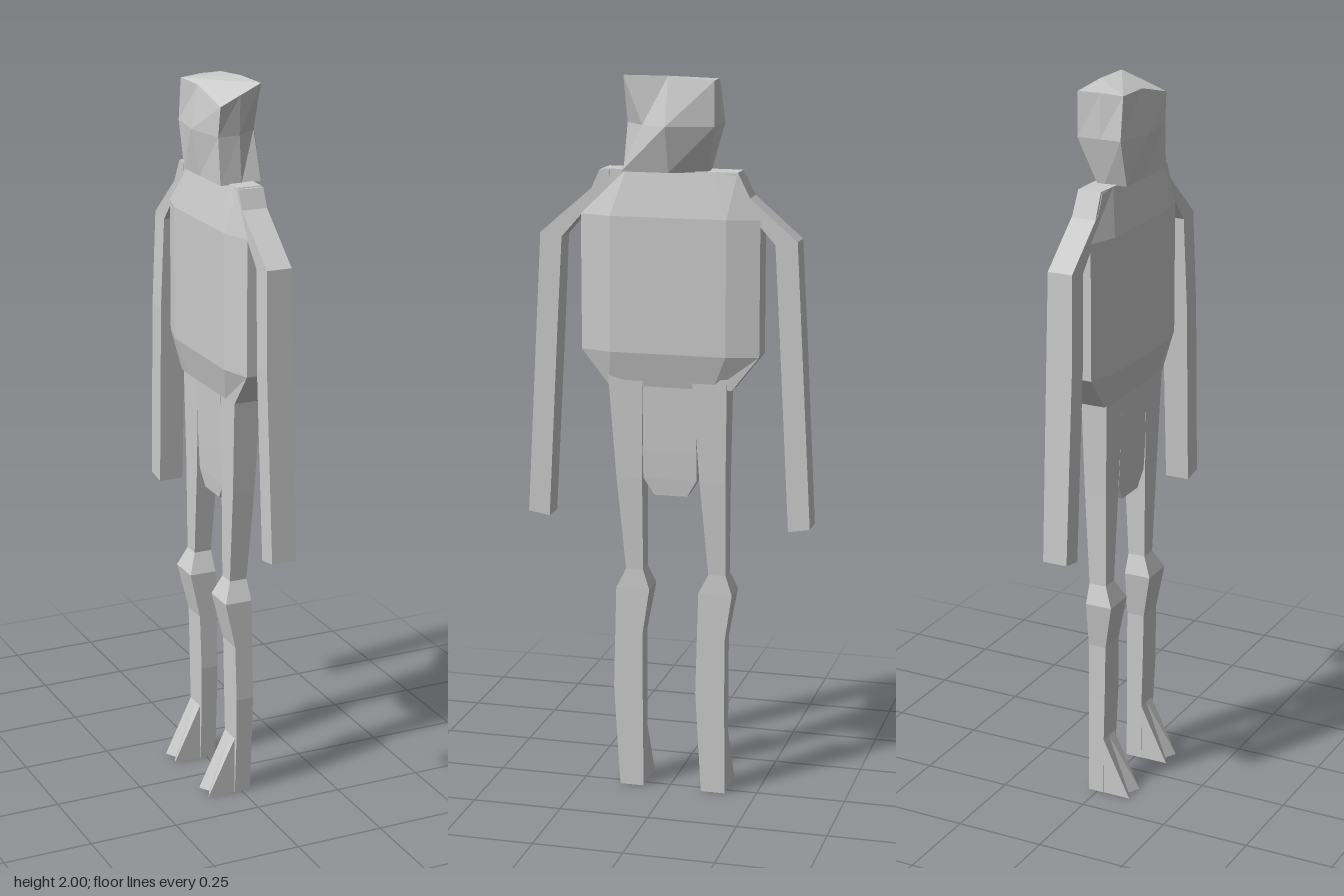
import * as THREE from 'three';

const material = new THREE.MeshStandardMaterial({ color: 0xcccccc, flatShading: true });

// Closed faceted solid through rings of equal point count, capped at both ends.
function loft(name, rings) {
  const pos = [];
  const tri = (a, b, c) => pos.push(...a, ...b, ...c);
  const n = rings[0].length;
  for (let i = 0; i + 1 < rings.length; i++) {
    for (let j = 0; j < n; j++) {
      const k = (j + 1) % n;
      const [a, b, c, d] = [rings[i][j], rings[i][k], rings[i + 1][k], rings[i + 1][j]];
      tri(a, b, c);
      tri(a, c, d);
    }
  }
  const first = rings[0], last = rings[rings.length - 1];
  for (let j = 1; j + 1 < n; j++) {
    tri(first[0], first[j + 1], first[j]);
    tri(last[0], last[j], last[j + 1]);
  }
  // Turn the faces outward if the enclosed volume is negative
  let volume = 0;
  const v = [0, 1, 2].map(() => new THREE.Vector3());
  for (let i = 0; i < pos.length; i += 9) {
    v.forEach((p, k) => p.fromArray(pos, i + 3 * k));
    volume += v[0].dot(v[1].clone().cross(v[2]));
  }
  if (volume < 0) {
    for (let i = 0; i < pos.length; i += 9) {
      for (let k = 0; k < 3; k++) [pos[i + 3 + k], pos[i + 6 + k]] = [pos[i + 6 + k], pos[i + 3 + k]];
    }
  }
  const geometry = new THREE.BufferGeometry();
  geometry.setAttribute('position', new THREE.Float32BufferAttribute(pos, 3));
  geometry.computeVertexNormals();
  const mesh = new THREE.Mesh(geometry, material);
  mesh.name = name;
  return mesh;
}

// Horizontal rectangle
const rect = (y, x0, x1, z0, z1) => [[x0, y, z0], [x0, y, z1], [x1, y, z1], [x1, y, z0]];

// Torso section: broad flat middle with bevelled sides
const slab = (y, hx, hz, sideX, sideZ) => [
  [-hx, y, -hz], [-hx, y, hz], [-sideX, y, sideZ], [sideX, y, sideZ],
  [hx, y, hz], [hx, y, -hz], [sideX, y, -sideZ], [-sideX, y, -sideZ],
];

function makeArm(name, side) {
  // [outer z, outer y, inner z, inner y, back x, front x]
  const sections = [
    [0.16, 1.745, 0.16, 1.62, 0.035, -0.035],
    [0.187, 1.745, 0.20, 1.62, 0.035, -0.035],
    [0.21, 1.695, 0.24, 1.622, 0.035, -0.035],
    [0.355, 1.57, 0.295, 1.56, 0.035, -0.035],
    [0.37, 1.30, 0.31, 1.30, 0.035, -0.04],
    [0.398, 0.787, 0.338, 0.777, 0.035, -0.035],
  ];
  return loft(name, sections.map(([oz, oy, iz, iy, b, f]) => [
    [f, oy, oz * side], [b, oy, oz * side], [b, iy, iz * side], [f, iy, iz * side],
  ]));
}

function makeLeg(name, z) {
  const leg = new THREE.Group();
  leg.name = name;
  leg.add(loft('thighKneeAndShin', [
    rect(1.19, -0.035, 0.042, 0.068, 0.165),
    rect(0.90, -0.03, 0.034, 0.072, 0.145),
    rect(0.635, -0.028, 0.022, 0.073, 0.122),
    rect(0.58, -0.053, 0.024, 0.055, 0.150),
    rect(0.45, -0.026, 0.026, 0.074, 0.153),
    rect(0.29, -0.023, 0.027, 0.074, 0.157),
    rect(0.165, -0.02, 0.027, 0.073, 0.150),
    rect(0, -0.02, 0.027, 0.072, 0.140),
  ]));
  // Wedge foot with a notched toe
  const toes = [[-0.02, 0.165, 0.073], [-0.02, 0.165, 0.105], [-0.02, 0.165, 0.138]];
  const sole = [[-0.1, 0, 0.073], [-0.083, 0, 0.103], [-0.1, 0, 0.137]];
  const heel = sole.map(([, , zz]) => [-0.01, 0, zz]);
  leg.add(loft('foot', [0, 1, 2].map((i) => [toes[i], sole[i], heel[i]])));
  leg.position.z = z;
  return leg;
}

function makeHead() {
  return loft('head', [
    [[-0.06, 1.745, -0.10], [-0.06, 1.745, 0], [-0.06, 1.745, 0.13], [0, 1.745, 0.13],
      [0.06, 1.745, 0.12], [0.062, 1.745, -0.01], [0.02, 1.745, -0.11], [0, 1.745, -0.11]],
    [[-0.06, 1.87, -0.135], [-0.08, 1.87, -0.01], [-0.062, 1.87, 0.12], [0, 1.87, 0.118],
      [0.067, 1.87, 0.06], [0.1, 1.87, -0.01], [0.065, 1.87, -0.135], [0, 1.87, -0.135]],
    [[-0.06, 1.985, -0.12], [-0.06, 1.985, -0.01], [-0.06, 1.95, 0.13], [0, 1.975, 0.122],
      [0.063, 2.0, 0.112], [0.063, 2.0, -0.01], [0.063, 1.99, -0.135], [0, 1.99, -0.13]],
  ]);
}

export function createModel() {
  const model = new THREE.Group();
  model.name = 'figure';
  model.add(makeHead());

  const torso = loft('torso', [
    slab(1.16, 0.038, 0.12, 0.035, 0.172),
    slab(1.255, 0.06, 0.16, 0.035, 0.247),
    slab(1.625, 0.06, 0.16, 0.035, 0.247),
    slab(1.748, 0.035, 0.12, 0.033, 0.185),
  ]);
  torso.position.z = -0.007;
  model.add(torso);

  // Hanging cloth between the legs
  model.add(loft('loincloth', [
    rect(0.853, -0.022, 0.022, -0.052, 0.04),
    rect(0.90, -0.026, 0.026, -0.08, 0.07),
    rect(0.98, -0.03, 0.03, -0.08, 0.073),
    rect(1.19, -0.036, 0.036, -0.08, 0.073),
  ]));

  model.add(makeArm('rearSideArm', -1), makeArm('frontSideArm', 1));
  model.add(makeLeg('frontSideLeg', 0), makeLeg('rearSideLeg', -0.235));
  return model;
}
